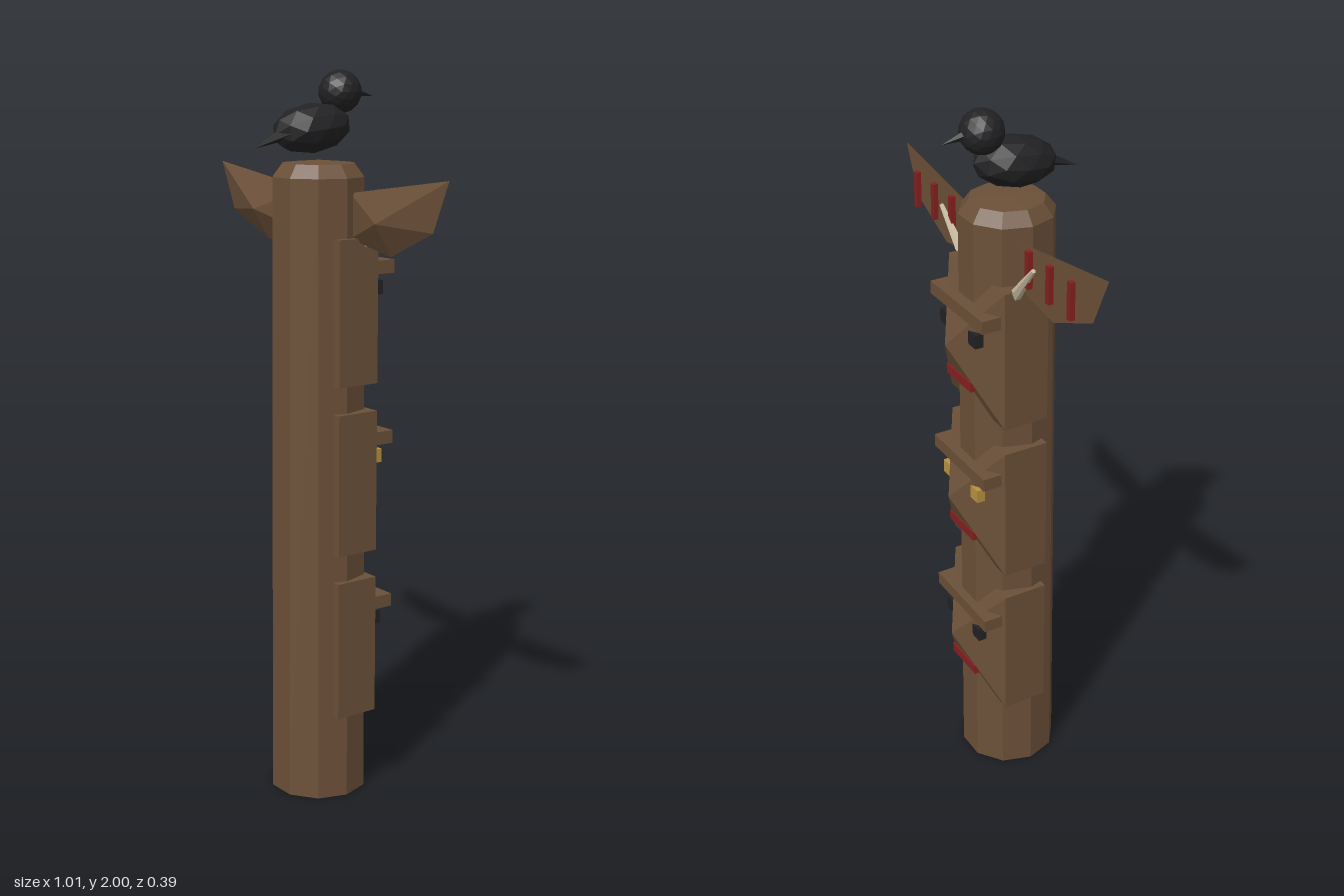
import * as THREE from 'three';
import { ConvexGeometry } from 'three/addons/geometries/ConvexGeometry.js';

const paint = (name, color) => {
  const m = new THREE.MeshStandardMaterial({ color, flatShading: true });
  m.name = name;
  return m;
};
const V = (x, y, z) => new THREE.Vector3(x, y, z);

export function createModel() {
  const wood = paint('carved wood', 0x6b5038);
  const black = paint('black', 0x222224);
  const red = paint('dark red', 0x84211f);
  const gold = paint('gold', 0xb8923f);
  const bone = paint('bone', 0xc8bda3);

  const model = new THREE.Group();
  model.name = 'carvedPole';

  const add = (parent, name, geometry, material, x = 0, y = 0, z = 0) => {
    const mesh = new THREE.Mesh(geometry, material);
    mesh.name = name;
    mesh.position.set(x, y, z);
    parent.add(mesh);
    return mesh;
  };
  const box = (w, h, d) => new THREE.BoxGeometry(w, h, d);

  // Tapered rod or spike running from one point to another
  const taper = (parent, name, material, from, to, r0, r1, sides) => {
    const dir = to.clone().sub(from);
    const geometry = new THREE.CylinderGeometry(r1, r0, dir.length(), sides);
    const mid = from.clone().add(to).multiplyScalar(0.5);
    const mesh = add(parent, name, geometry, material, mid.x, mid.y, mid.z);
    mesh.quaternion.setFromUnitVectors(V(0, 1, 0), dir.normalize());
    return mesh;
  };

  // Ten-sided pole with a bevelled top
  const ring = (r1, r0, h) => new THREE.CylinderGeometry(r1, r0, h, 10).rotateY(Math.PI / 10);
  add(model, 'pole', ring(0.127, 0.137, 1.725), wood, 0, 0.8625, -0.012);
  add(model, 'poleBevel', ring(0.1, 0.127, 0.035), wood, 0, 1.7425, -0.012);
  add(model, 'poleCap', ring(0, 0.1, 0.008), wood, 0, 1.764, -0.012);

  // Three carved faces: a block whose face rises to a pointed nose
  [0.435, 0.905, 1.373].forEach((y, i) => {
    const face = new THREE.Group();
    face.name = 'carvedFace' + (i + 1);
    face.position.y = y;
    model.add(face);

    const points = [V(0, 0.015, -0.198)];
    for (const x of [-0.145, 0.145])
      for (const h of [-0.196, 0.196])
        for (const z of [0.025, -0.103]) points.push(V(x, h, z));
    add(face, 'faceBlock', new ConvexGeometry(points), wood);
    add(face, 'brow', box(0.274, 0.036, 0.055), wood, 0, 0.115, -0.137);
    add(face, 'mouth', box(0.13, 0.027, 0.04), red, 0, -0.092, -0.14);
    for (const side of [-1, 1])
      add(face, 'eye', box(0.038, 0.038, 0.035), i === 1 ? gold : black, side * 0.075, 0.054, -0.143);
  });

  // Wings with red bars and bone spikes
  for (const side of [-1, 1]) {
    const wing = new THREE.Group();
    wing.name = side > 0 ? 'leftWing' : 'rightWing';
    model.add(wing);

    const outline = [[0.1, 1.685], [0.505, 1.74], [0.445, 1.607], [0.275, 1.533], [0.1, 1.565]];
    const points = outline.map(([x, y]) => V(side * x, y, -0.045 + x * 0.018));
    points.push(V(side * 0.275, 1.62, 0.012));
    add(wing, 'wingPanel', new ConvexGeometry(points), wood);

    for (const x of [0.196, 0.293, 0.39])
      add(wing, 'wingBar', box(0.016, 0.1, 0.014), red, side * x, 1.65, -0.065);

    taper(wing, 'boneSpike', bone,
      V(side * 0.125, 1.545, -0.065), V(side * 0.235, 1.665, -0.075), 0.017, 0.006, 6);
  }

  // Bird perched on top
  const bird = new THREE.Group();
  bird.name = 'bird';
  model.add(bird);
  const body = add(bird, 'birdBody', new THREE.IcosahedronGeometry(1, 1), black, 0, 1.851, 0.01);
  body.scale.set(0.078, 0.066, 0.117);
  body.rotation.x = 0.12;
  add(bird, 'birdHead', new THREE.IcosahedronGeometry(0.058, 2), black, 0, 1.944, -0.083);
  taper(bird, 'beak', black, V(0, 1.943, -0.13), V(0, 1.93, -0.195), 0.013, 0, 5);

  // Flattened pointed tail
  add(bird, 'tail', new ConvexGeometry([
    V(-0.04, 1.84, 0.1), V(0.04, 1.84, 0.1), V(0, 1.858, 0.1), V(0, 1.82, 0.1), V(0, 1.802, 0.196),
  ]), black);

  return model;
}
